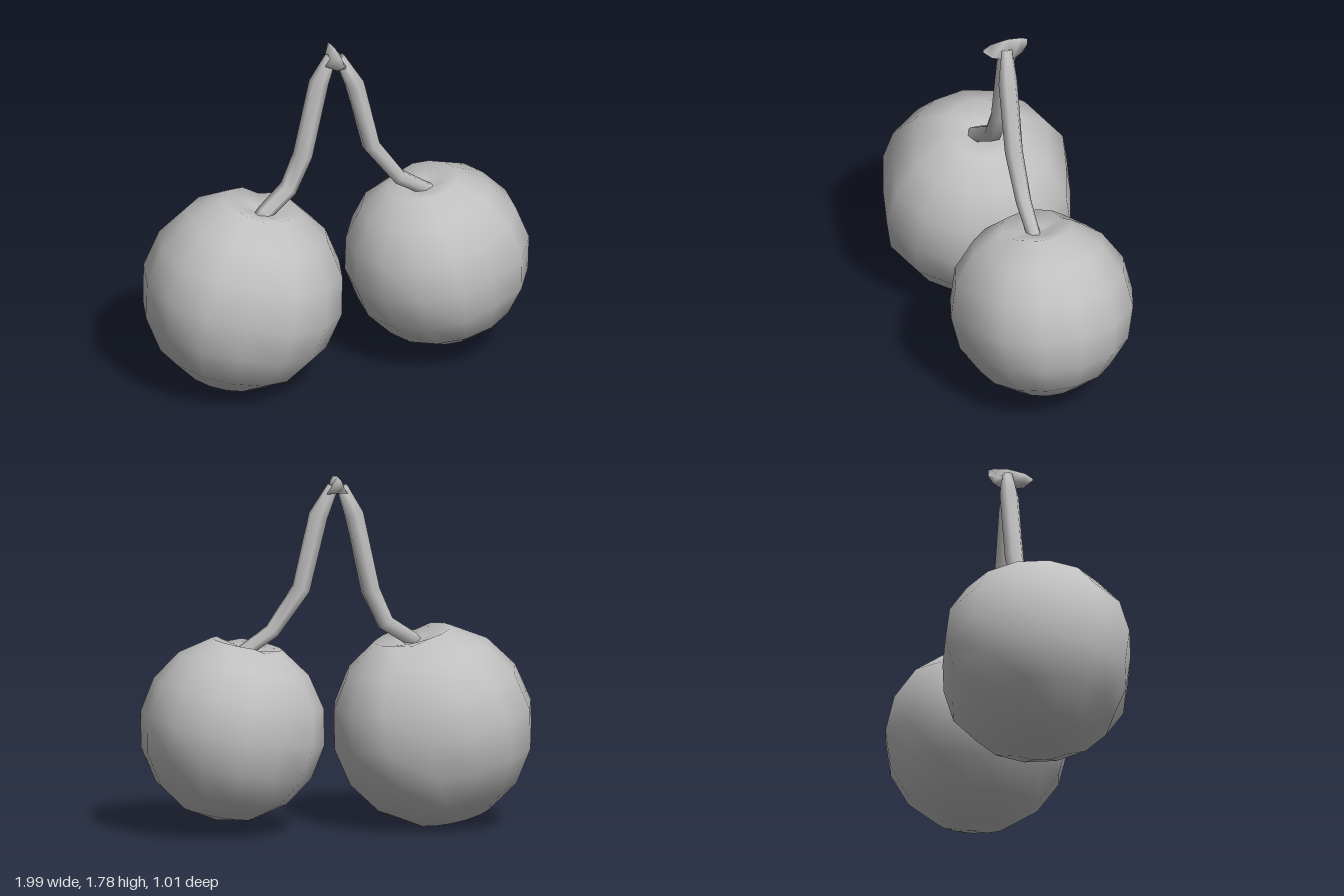
import * as THREE from 'three';
import { mergeVertices } from 'three/addons/utils/BufferGeometryUtils.js';

// Skin a closed surface over rings of points, each ring turning right-handed about the travel direction
function loft(rings) {
  const n = rings[0].length;
  const index = [];
  for (let i = 0; i < rings.length - 1; i++) {
    for (let j = 0; j < n; j++) {
      const a = i * n + j, b = i * n + (j + 1) % n;
      index.push(a, b, a + n, b, b + n, a + n);
    }
  }
  const last = (rings.length - 1) * n;
  for (let j = 1; j < n - 1; j++) {
    index.push(0, j + 1, j, last, last + j, last + j + 1);
  }
  const geometry = new THREE.BufferGeometry();
  geometry.setAttribute('position', new THREE.Float32BufferAttribute(rings.flat(2), 3));
  geometry.setIndex(index);
  geometry.computeVertexNormals();
  return geometry;
}

// Low-poly cherry: a lathe with a dimple on top and a shallow seam front and back
function cherryGeometry(radius, seamTurn, tilt) {
  const profile = [];
  for (let i = 0; i <= 7; i++) {
    const t = Math.PI * (1 - i / 8);
    profile.push(new THREE.Vector2(Math.max(0, Math.sin(t)), Math.cos(t)));
  }
  profile.push(new THREE.Vector2(0.12, 0.86), new THREE.Vector2(0, 0.83));
  let geometry = new THREE.LatheGeometry(profile, 14);
  geometry.deleteAttribute('uv');
  geometry.deleteAttribute('normal');

  // Press in the two seam columns
  const p = geometry.attributes.position;
  for (let i = 0; i < p.count; i++) {
    if (Math.abs(p.getX(i)) < 1e-4 && p.getY(i) > -0.5) {
      p.setZ(i, p.getZ(i) * 0.92);
      if (p.getY(i) > 0.9) p.setY(i, p.getY(i) - 0.04);
    }
  }
  geometry = mergeVertices(geometry, 1e-4);
  geometry.scale(radius, radius, radius);
  geometry.rotateY(seamTurn);
  geometry.rotateZ(tilt);
  geometry.computeVertexNormals();
  return geometry;
}

// Six-sided stem along a bent path of [x, y, z, radius]
function stemGeometry(path) {
  const zAxis = new THREE.Vector3(0, 0, 1);
  return loft(path.map(([x, y, z, r], i) => {
    const before = path[Math.max(0, i - 1)], after = path[Math.min(path.length - 1, i + 1)];
    const d = new THREE.Vector3(after[0] - before[0], after[1] - before[1], 0).normalize();
    const v = d.clone().cross(zAxis);
    return Array.from({ length: 6 }, (_, j) => {
      const a = j * Math.PI / 3;
      const c = Math.cos(a) * r, s = Math.sin(a) * r;
      return [x + v.x * s, y + v.y * s, z + c];
    });
  }));
}

export function createModel() {
  const group = new THREE.Group();
  const grey = new THREE.MeshStandardMaterial({ color: 0xc0c0c0 });
  grey.name = 'plain grey';

  const add = (name, geometry, x = 0, y = 0, z = 0) => {
    const mesh = new THREE.Mesh(geometry, grey);
    mesh.name = name;
    mesh.position.set(x, y, z);
    group.add(mesh);
  };

  // Fruit
  add('rightCherry', cherryGeometry(0.512, -0.29, -0.22), -0.49, 0.512, 0);
  add('leftCherry', cherryGeometry(0.468, 0.36, 0.18), 0.54, 0.535, 0.02);

  // Stems, from the join down into the dimples
  add('rightStem', stemGeometry([
    [-0.02, 1.74, 0, 0.03], [-0.08, 1.6, -0.01, 0.05], [-0.165, 1.21, -0.01, 0.05],
    [-0.245, 1.04, 0, 0.047], [-0.39, 0.945, 0.04, 0.042], [-0.43, 0.9, 0.045, 0.04]]));
  add('leftStem', stemGeometry([
    [0.02, 1.74, 0.02, 0.03], [0.092, 1.59, 0.04, 0.05], [0.18, 1.225, 0.04, 0.047],
    [0.33, 1.015, 0.04, 0.04], [0.49, 0.91, 0.04, 0.035], [0.52, 0.88, 0.04, 0.033]]));

  // Ridged cap joining the stems: [z, top, base, half width]
  const sections = [
    [0.14, 1.755, 1.742, 0.005], [0.1, 1.778, 1.71, 0.022],
    [0.01, 1.79, 1.7, 0.062], [-0.06, 1.782, 1.715, 0.03], [-0.095, 1.77, 1.74, 0.006]];
  add('stemCap', loft(sections.map(([z, top, base, w]) => [[0, top, z], [w, base, z], [-w, base, z]])));

  return group;
}
